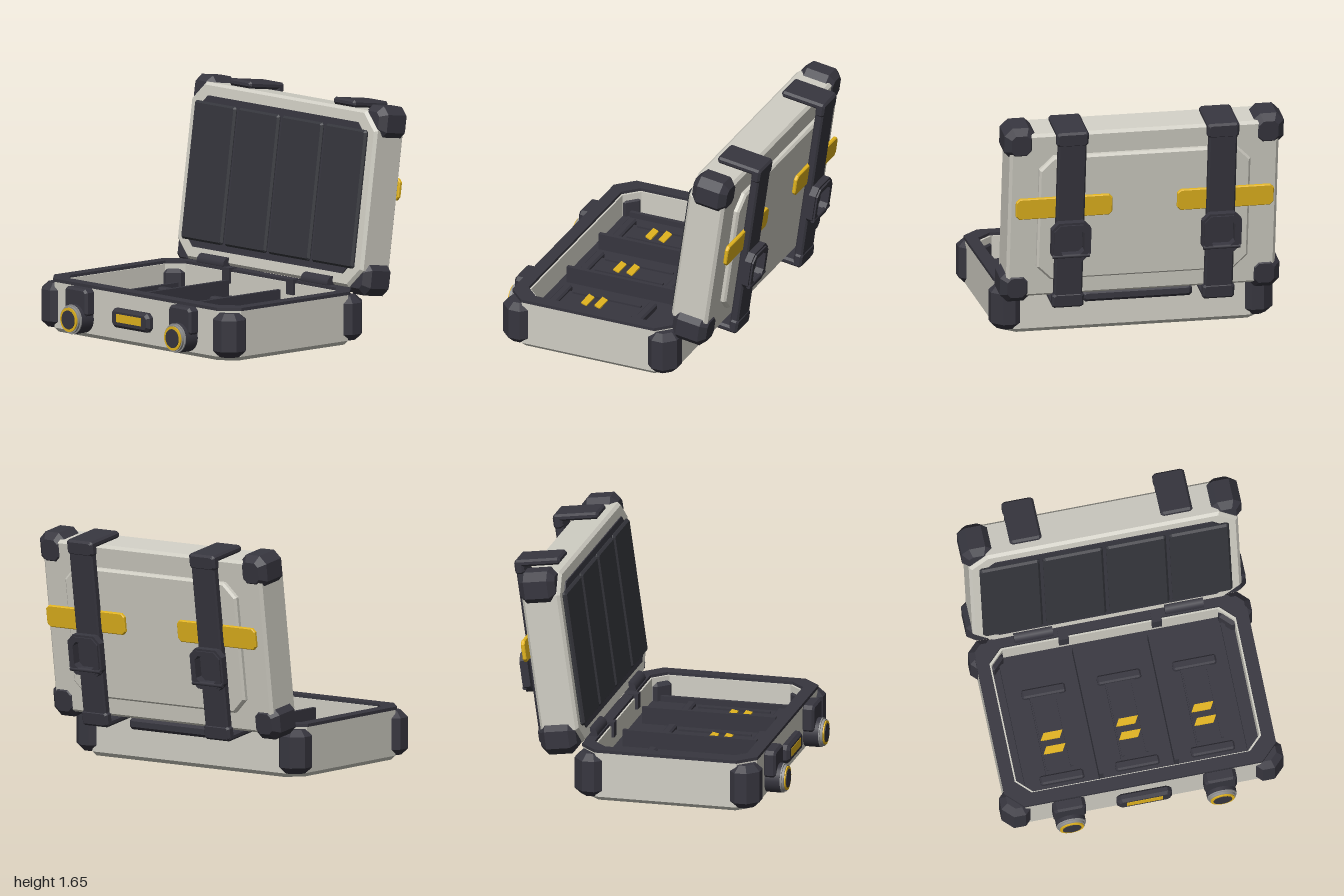
import * as THREE from 'three';

const paint = (name, color) => {
  const m = new THREE.MeshStandardMaterial({ color });
  m.name = name;
  return m;
};

// Rectangle with cut corners
function octPoints(w, h, c) {
  const x = w / 2, y = h / 2;
  return [[x - c, -y], [x, -y + c], [x, y - c], [x - c, y], [-x + c, y], [-x, y - c], [-x, -y + c], [-x + c, -y]]
    .map(([a, b]) => new THREE.Vector2(a, b));
}

// Cut-corner slab centred on its thickness (z), edges bevelled by b
function slab(w, h, d, c, b = 0) {
  const g = new THREE.ExtrudeGeometry(new THREE.Shape(octPoints(w, h, c)), {
    depth: d - 2 * b, bevelEnabled: b > 0, bevelSize: b, bevelThickness: b, bevelOffset: -b, bevelSegments: 1,
  });
  return g.translate(0, 0, b - d / 2);
}

// Cut-corner frame; hole = [w, h, c, offsetY]
function frame(w, h, d, c, hole) {
  const s = new THREE.Shape(octPoints(w, h, c));
  const inner = octPoints(hole[0], hole[1], hole[2]).map((p) => p.add(new THREE.Vector2(0, hole[3])));
  s.holes.push(new THREE.Path(inner.reverse()));
  return new THREE.ExtrudeGeometry(s, { depth: d, bevelEnabled: false }).translate(0, 0, -d / 2);
}

export function createModel() {
  const shell = paint('shell grey', 0xd0cec4);
  const dark = paint('charcoal', 0x37363f);
  const pad = paint('panel charcoal', 0x34353b);
  const gold = paint('gold', 0xe2b41e);
  const metal = paint('metal grey', 0x929292);

  const model = new THREE.Group();
  const base = new THREE.Group();
  const lid = new THREE.Group();
  base.name = 'base';
  lid.name = 'lid';
  model.add(base, lid);

  const add = (parent, name, geo, mat, x, y, z) => {
    const m = new THREE.Mesh(geo, mat);
    m.name = name;
    m.position.set(x, y, z);
    parent.add(m);
  };
  const flat = (g) => g.rotateX(-Math.PI / 2);
  const box = (w, h, d) => new THREE.BoxGeometry(w, h, d);
  const sides = [-1, 1];

  // Base tray: floor plate, walls, dark rim
  add(base, 'bottom', flat(slab(1.91, 1.25, 0.07, 0.12, 0.03)), shell, 0, 0.035, 0.205);
  add(base, 'walls', flat(frame(1.91, 1.25, 0.325, 0.12, [1.725, 1.07, 0.1, 0.01])), shell, 0, 0.193, 0.205);
  add(base, 'rim', flat(frame(1.93, 1.26, 0.022, 0.12, [1.75, 1.095, 0.1, 0.01])), dark, 0, 0.365, 0.205);
  add(base, 'trayFloor', flat(slab(1.73, 1.075, 0.03, 0.1)), dark, 0, 0.175, 0.195);

  // Corner guards
  for (const sx of sides) {
    for (const sz of sides) {
      add(base, 'baseCorner', flat(slab(0.235, 0.235, 0.31, 0.075, 0.045)), dark, sx * 0.8825, 0.185, 0.205 + sz * 0.5475);
      add(lid, 'lidCorner', slab(0.225, 0.235, 0.26, 0.055, 0.045), dark, sx * 0.88, sz * 0.546, 0);
    }
  }

  // Dividers and wall ribs
  for (const s of sides) {
    add(base, 'divider', box(0.03, 0.13, 0.96), dark, s * 0.267, 0.245, 0.2);
    add(base, 'wallRib', box(0.03, 0.05, 0.96), dark, s * 0.785, 0.205, 0.2);
  }

  // Three storage bays with gold stripes
  for (const x of [-0.535, 0, 0.535]) {
    add(base, 'bayPlate', box(0.21, 0.03, 0.6), dark, x, 0.2, 0.29);
    for (const z of [-0.032, 0.617]) add(base, 'bayClamp', slab(0.31, 0.055, 0.065, 0.012, 0.012), dark, x, 0.213, z);
    for (const s of sides) add(base, 'bayRail', box(0.02, 0.016, 0.52), dark, x + s * 0.085, 0.22, 0.29);
    for (const z of [0.303, 0.405]) {
      const stripe = new THREE.Shape([[-0.083, -0.027], [0.053, -0.027], [0.083, 0.027], [-0.053, 0.027]]
        .map(([a, b]) => new THREE.Vector2(a, b)));
      const g = new THREE.ExtrudeGeometry(stripe, { depth: 0.009, bevelEnabled: false });
      add(base, 'bayStripe', flat(g), gold, x - 0.01, 0.222, z);
    }
  }

  // Front badge
  add(base, 'badge', slab(0.39, 0.135, 0.07, 0.03, 0.02), dark, 0, 0.188, 0.859);
  add(base, 'badgePlate', box(0.255, 0.058, 0.008), gold, -0.003, 0.192, 0.893);

  // Latches, hinges and lid stops
  const disc = (r, d) => new THREE.CylinderGeometry(r, r, d, 24).rotateX(Math.PI / 2);
  for (const s of sides) {
    const x = s * 0.535;
    add(base, 'latchPlate', slab(0.23, 0.2, 0.09, 0.025, 0.015), dark, x, 0.255, 0.867);
    add(base, 'latchKnob', disc(0.105, 0.11), dark, x, 0.137, 0.885);
    add(base, 'latchCollar', disc(0.104, 0.01), metal, x, 0.137, 0.944);
    add(base, 'latchBezel', disc(0.094, 0.02), metal, x, 0.137, 0.956);
    add(base, 'latchRing', disc(0.085, 0.012), gold, x, 0.137, 0.969);
    add(base, 'latchCentre', disc(0.066, 0.008), dark, x, 0.137, 0.975);

    const barrel = new THREE.CylinderGeometry(0.05, 0.05, 0.275, 12).rotateZ(Math.PI / 2);
    add(base, 'hingeBarrel', barrel, dark, x, 0.388, -0.41);
    add(base, 'hingeLeaf', box(0.23, 0.07, 0.03), dark, x, 0.345, -0.432);
    add(base, 'lidStop', box(0.07, 0.11, 0.07), dark, s * 0.33, 0.33, -0.355);
  }

  // Rear carry handle
  add(base, 'handle', slab(0.78, 0.08, 0.13, 0.02, 0.02), dark, 0, 0.288, -0.527);
  for (const s of sides) add(base, 'handleMount', box(0.08, 0.06, 0.1), dark, s * 0.32, 0.295, -0.45);

  // Lid shell, raised back panel and inner lining
  lid.position.set(0, 0.972, -0.646);
  lid.rotation.x = THREE.MathUtils.degToRad(-8);
  add(lid, 'lidShell', slab(1.91, 1.24, 0.275, 0.13, 0.02), shell, 0, 0, 0.016);
  add(lid, 'backPanel', slab(1.5, 0.94, 0.06, 0.1, 0.015), shell, 0, -0.012, -0.13);
  add(lid, 'lining', slab(1.74, 1.06, 0.02, 0.1), dark, 0, 0, 0.153);
  for (let i = 0; i < 4; i++) {
    add(lid, 'liningPad', slab(0.425, 0.97, 0.04, 0.015, 0.015), pad, (i - 1.5) * 0.448, 0, 0.165);
  }

  // Straps with end caps, buckles and gold bars
  for (const s of sides) {
    const x = s * 0.535;
    add(lid, 'goldBar', slab(0.685, 0.155, 0.028, 0.025, 0.006), gold, s * 0.573, 0.082, -0.173);
    add(lid, 'strap', slab(0.2, 1.3, 0.062, 0.015, 0.012), dark, x, 0, -0.199);
    for (const e of sides) {
      add(lid, 'strapCap', slab(0.225, 0.05, 0.33, 0.015, 0.015), dark, x, e * 0.645, -0.069);
      add(lid, 'strapCorner', slab(0.225, 0.11, 0.066, 0.02, 0.015), dark, x, e * 0.615, -0.202);
    }
    add(lid, 'buckle', frame(0.28, 0.29, 0.05, 0.05, [0.18, 0.19, 0.03, 0]), dark, x, -0.145, -0.253);
    add(lid, 'buckleLip', frame(0.25, 0.26, 0.016, 0.045, [0.18, 0.19, 0.03, 0]), dark, x, -0.145, -0.282);
    const pin = new THREE.CylinderGeometry(0.016, 0.016, 0.26, 10).rotateZ(Math.PI / 2);
    add(lid, 'bucklePin', pin, dark, x, -0.25, -0.278);
  }
  return model;
}
